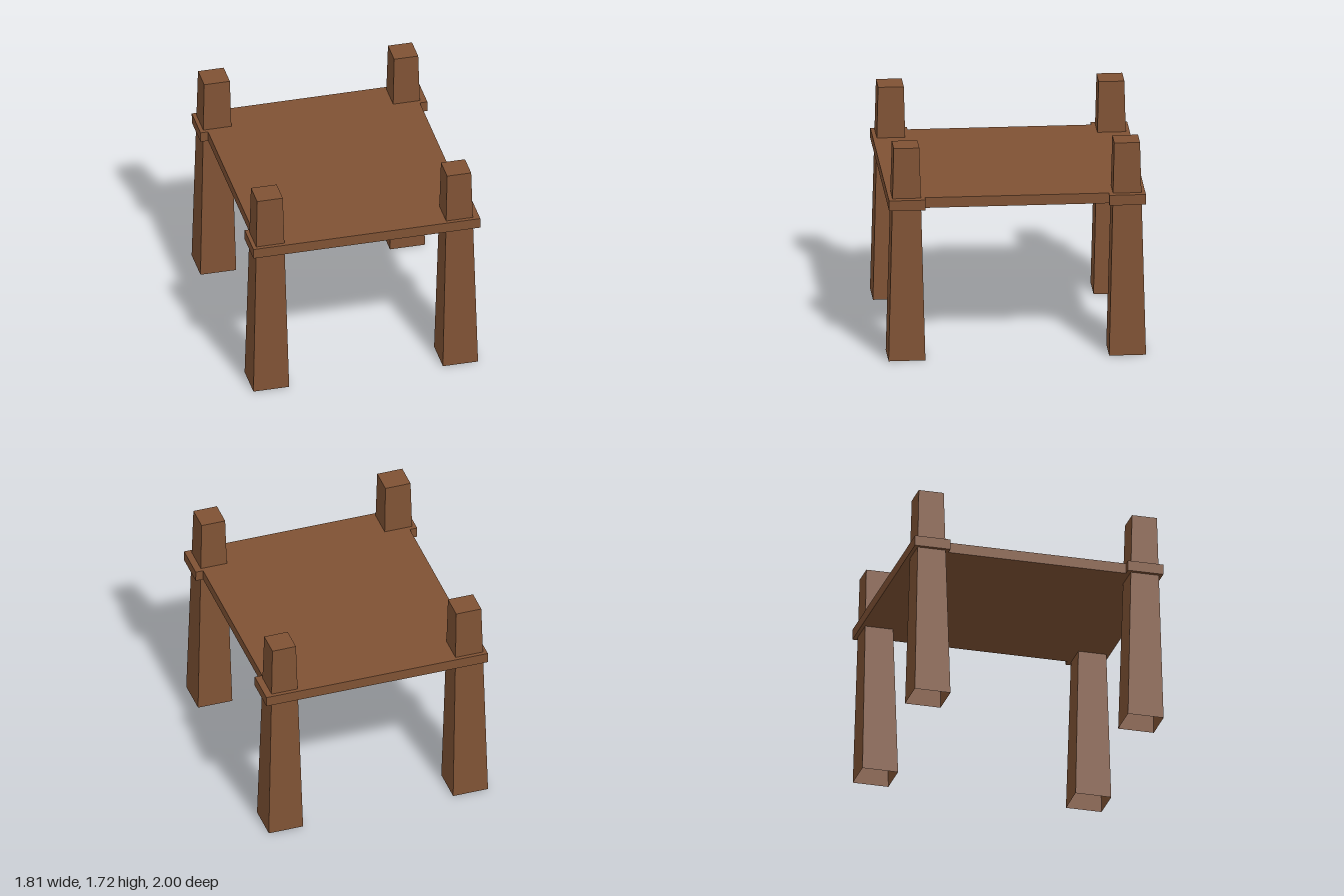
import * as THREE from 'three';

const HEIGHT = 1.72;

// Square tapered post with a closed top and an open foot
function taperedPost(bottomW, topW, bottomD, topD) {
  const geo = new THREE.BoxGeometry(1, HEIGHT, 1);
  geo.translate(0, HEIGHT / 2, 0);
  const pos = geo.attributes.position;
  for (let i = 0; i < pos.count; i++) {
    const t = pos.getY(i) / HEIGHT;
    pos.setX(i, pos.getX(i) * THREE.MathUtils.lerp(bottomW, topW, t));
    pos.setZ(i, pos.getZ(i) * THREE.MathUtils.lerp(bottomD, topD, t));
  }
  // Leave out the bottom face (fourth side of the box)
  const index = Array.from(geo.index.array);
  index.splice(18, 6);
  geo.setIndex(index);
  geo.clearGroups();
  geo.computeVertexNormals();
  return geo;
}

export function createModel() {
  const group = new THREE.Group();
  group.name = 'table';
  const wood = new THREE.MeshStandardMaterial({ color: 0x7f5234, side: THREE.DoubleSide });
  wood.name = 'brown wood';

  // Four posts that pass through the top
  for (const [side, x, bottomW, topW] of [['Right', -0.763, 0.285, 0.205], ['Left', 0.746, 0.28, 0.192]]) {
    for (const [end, z] of [['front', 0.857], ['back', -0.857]]) {
      const post = new THREE.Mesh(taperedPost(bottomW, topW, 0.286, 0.2), wood);
      post.name = `${end}${side}Post`;
      post.position.set(x, 0, z);
      group.add(post);
    }
  }

  // Slab with a wider tab at each corner
  const inner = 0.845, outer = 0.905, notch = 0.714, end = 0.998;
  const outline = new THREE.Shape([
    [-outer, -end], [outer, -end], [outer, -notch], [inner, -notch],
    [inner, notch], [outer, notch], [outer, end], [-outer, end],
    [-outer, notch], [-inner, notch], [-inner, -notch], [-outer, -notch],
  ].map(([x, z]) => new THREE.Vector2(x, z)));
  const slabGeo = new THREE.ExtrudeGeometry(outline, { depth: 0.083, bevelEnabled: false });
  slabGeo.rotateX(-Math.PI / 2);
  const slab = new THREE.Mesh(slabGeo, wood);
  slab.name = 'tableTop';
  slab.position.y = 1.229;
  slab.rotation.z = 0.003; // very slight sag to one side
  group.add(slab);

  return group;
}
